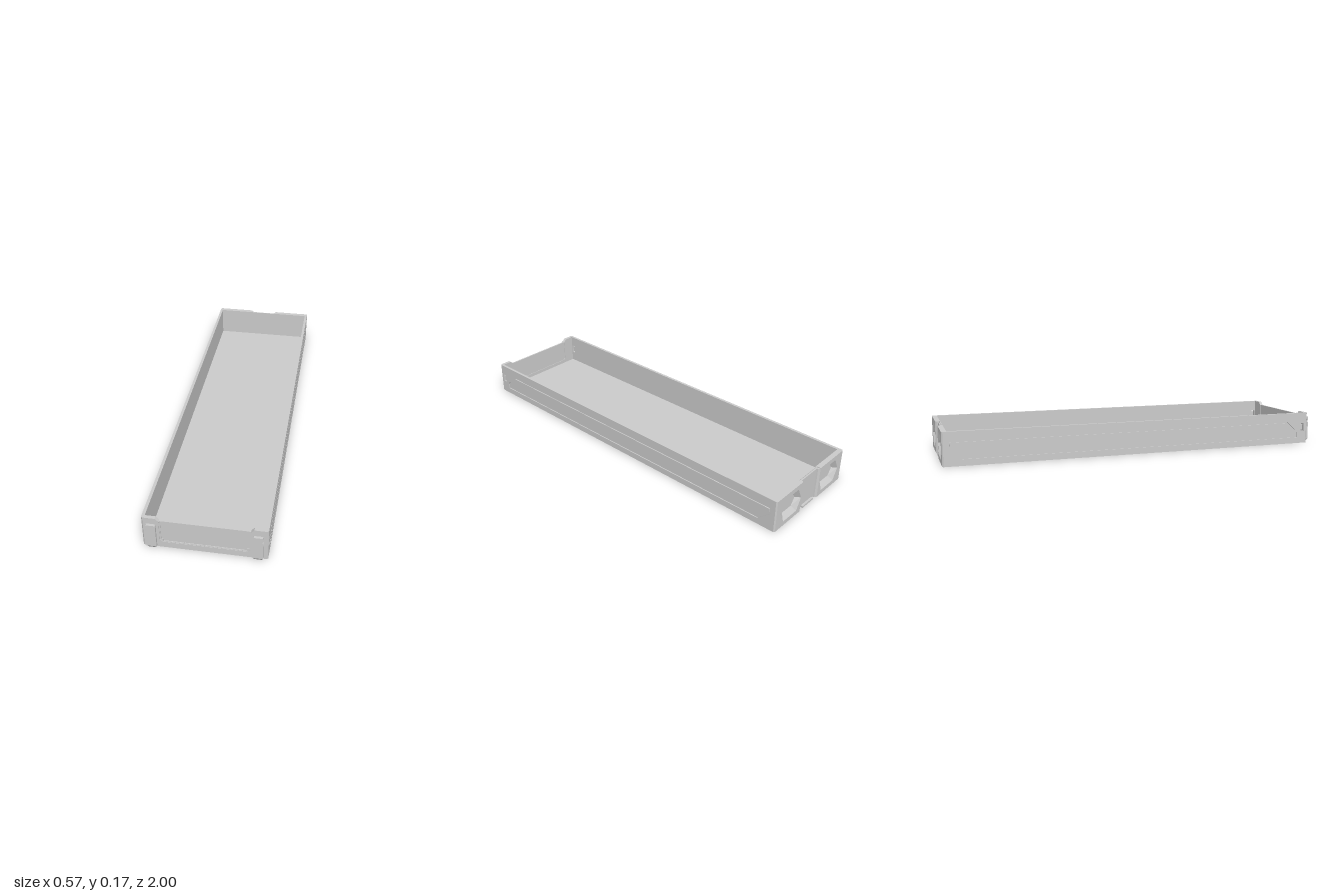
import * as THREE from 'three';

const material = new THREE.MeshStandardMaterial({ color: 0xcccccc, flatShading: true, side: THREE.DoubleSide });
const H = 0.168; // tray height

function toPath(pts, Type) {
  return new Type(pts.map(([x, y]) => new THREE.Vector2(x, y)));
}

// straight prism along z from an outline and optional holes
function prism(pts, depth, holes = []) {
  const shape = toPath(pts, THREE.Shape);
  holes.forEach((h) => shape.holes.push(toPath(h, THREE.Path)));
  return new THREE.ExtrudeGeometry(shape, { depth, bevelEnabled: false });
}

// upright prism from a plan of [x, z] points
function planPrism(pts, height) {
  return prism(pts.map(([x, z]) => [x, -z]), height).rotateX(-Math.PI / 2);
}

// prism along x from an outline of [z, y] points
function sidePrism(pts, depth, holes = []) {
  const flip = (list) => list.map(([z, y]) => [-z, y]);
  return prism(flip(pts), depth, holes.map(flip)).rotateY(Math.PI / 2);
}

function box(x0, x1, y0, y1, z0, z1) {
  return new THREE.BoxGeometry(x1 - x0, y1 - y0, z1 - z0)
    .translate((x0 + x1) / 2, (y0 + y1) / 2, (z0 + z1) / 2);
}

function rect(x0, x1, y0, y1) {
  return [[x0, y0], [x1, y0], [x1, y1], [x0, y1]];
}

// hexagon outline with flat top and bottom
function hexagon(cx, cy, w, flat, h) {
  return [[-flat, -h], [flat, -h], [w, 0], [flat, h], [-flat, h], [-w, 0]].map(([x, y]) => [cx + x, cy + y]);
}

// sloping band between two outlines with equal point counts
function slope(outer, z0, inner, z1) {
  const v = [];
  outer.forEach((a, i) => {
    const j = (i + 1) % outer.length;
    const b = outer[j], c = inner[i], d = inner[j];
    v.push(...a, z0, ...d, z1, ...b, z0, ...a, z0, ...c, z1, ...d, z1);
  });
  const g = new THREE.BufferGeometry();
  g.setAttribute('position', new THREE.Float32BufferAttribute(v, 3));
  g.computeVertexNormals();
  return g;
}

export function createModel() {
  const model = new THREE.Group();
  model.name = 'storageTray';
  const add = (name, geometry, parent = model) => {
    const mesh = new THREE.Mesh(geometry, material);
    mesh.name = name;
    parent.add(mesh);
    return mesh;
  };

  add('floor', box(-0.27, 0.27, 0, 0.012, -0.985, 0.97));

  // side walls: solid core, thin skin cut by a groove, island panel inside the groove
  const wall = rect(-0.99, 0.97, 0, H);
  const slot = rect(0.94, 0.958, 0.066, 0.11);
  const groove = [[0.917, 0.032], [0.917, 0.062], [0.852, 0.123], [-0.972, 0.123], [-0.972, 0.092], [-0.905, 0.032]];
  const island = [[0.907, 0.039], [0.907, 0.059], [0.848, 0.115], [-0.962, 0.115], [-0.962, 0.095], [-0.901, 0.039]];
  for (const s of [-1, 1]) {
    const side = new THREE.Group();
    side.name = s > 0 ? 'leftWall' : 'rightWall';
    model.add(side);
    const skinX = s > 0 ? 0.278 : -0.283;
    add('wallCore', sidePrism(wall, 0.009, [slot]).translate(s > 0 ? 0.269 : -0.278, 0, 0), side);
    add('wallSkin', sidePrism(wall, 0.005, [slot, groove]).translate(skinX, 0, 0), side);
    add('wallPanel', sidePrism(island, 0.005).translate(skinX, 0, 0), side);
    add('slotTab', box(s * 0.275 - 0.003, s * 0.275 + 0.003, 0.073, 0.103, 0.94, 0.953), side);

    // chamfered corner posts
    for (const [name, z, d] of [['frontCornerPost', 0.97, 1], ['backCornerPost', -0.99, -1]]) {
      const plan = [[0.269, 0], [0.283, 0], [0.283, 0.004], [0.277, 0.01], [0.269, 0.01]];
      add(name, planPrism(plan.map(([x, dz]) => [s * x, z + d * dz]), H), side);
    }
  }

  // front frame: U outline with a lowered middle and a thin inset panel
  const frameHalf = [[0.269, 0], [0.269, H], [0.22, H], [0.205, 0.152], [0.205, 0.045], [0.191, 0.032]];
  const mirrored = frameHalf.map(([x, y]) => [-x, y]).reverse();
  add('frontFrame', prism([...frameHalf, ...mirrored], 0.017).translate(0, 0, 0.963));
  add('frontPanel', box(-0.206, 0.206, 0.03, 0.152, 0.966, 0.974));
  for (let i = 0; i < 4; i++) {
    const x = -0.1875 + i * 0.09375;
    add('panelBottomLip', box(x + 0.001, x + 0.0925, 0.031, 0.036, 0.972, 0.978));
  }
  for (const s of [-1, 1]) {
    add('panelSideLip', box(s * 0.202 - 0.003, s * 0.202 + 0.003, 0.048, 0.152, 0.972, 0.977));
    add('panelCornerLip', prism([[0.206, 0.043], [0.206, 0.048], [0.188, 0.048], [0.188, 0.031], [0.193, 0.031]]
      .map(([x, y]) => [s * x, y]), 0.004).translate(0, 0, 0.973));
  }

  // front clips: notched slab on a narrower stem with a tapered foot
  for (const s of [-1, 1]) {
    const clip = new THREE.Group();
    clip.name = s > 0 ? 'leftClip' : 'rightClip';
    model.add(clip);
    const slab = [[0.216, 0.018], [0.262, 0.018], [0.262, 0.11], [0.257, 0.114], [0.257, 0.122],
      [0.262, 0.126], [0.262, 0.139], [0.259, 0.143], [0.219, 0.143], [0.216, 0.139]];
    add('clipSlab', prism(slab.map(([x, y]) => [s * x, y]), 0.012).translate(0, 0, 0.988), clip);
    add('clipStem', box(s * 0.239 - 0.017, s * 0.239 + 0.017, 0.01, 0.135, 0.978, 0.99), clip);
    const foot = new THREE.BoxGeometry(0.046, 0.018, 0.012);
    const p = foot.attributes.position;
    for (let i = 0; i < p.count; i++) {
      if (p.getY(i) < 0) p.setXYZ(i, p.getX(i) * 0.7, p.getY(i), p.getZ(i) > 0 ? -0.006 : -0.014);
    }
    foot.computeVertexNormals();
    add('clipFoot', foot.translate(s * 0.239, 0.009, 0.994), clip);
  }

  // back wall: inner plate, two blocks with sloping hexagonal pockets, recessed centre
  add('backPlate', box(-0.269, 0.269, 0, H, -0.979, -0.975));
  for (const s of [-1, 1]) {
    const block = new THREE.Group();
    block.name = s > 0 ? 'leftBackBlock' : 'rightBackBlock';
    model.add(block);
    const outer = hexagon(s * 0.162, 0.083, 0.084, 0.054, 0.06);
    const inner = hexagon(s * 0.162, 0.088, 0.06, 0.036, 0.036);
    const outline = rect(s * 0.075, s * 0.269, 0, H);
    add('blockFace', prism(outline, 0.021, [outer]).translate(0, 0, -1), block);
    add('pocketSlope', slope(outer, -1, inner, -0.979), block);
    add('centreChamfer', planPrism([[s * 0.075, -1], [s * 0.075, -0.979], [s * 0.062, -0.979], [s * 0.066, -0.992]], H - 0.004), block);
  }
  add('backCentrePanel', box(-0.07, 0.07, 0, H - 0.004, -0.986, -0.977));
  add('backCentreTab', box(-0.045, 0.045, 0, 0.01, -0.997, -0.98));

  return model;
}
